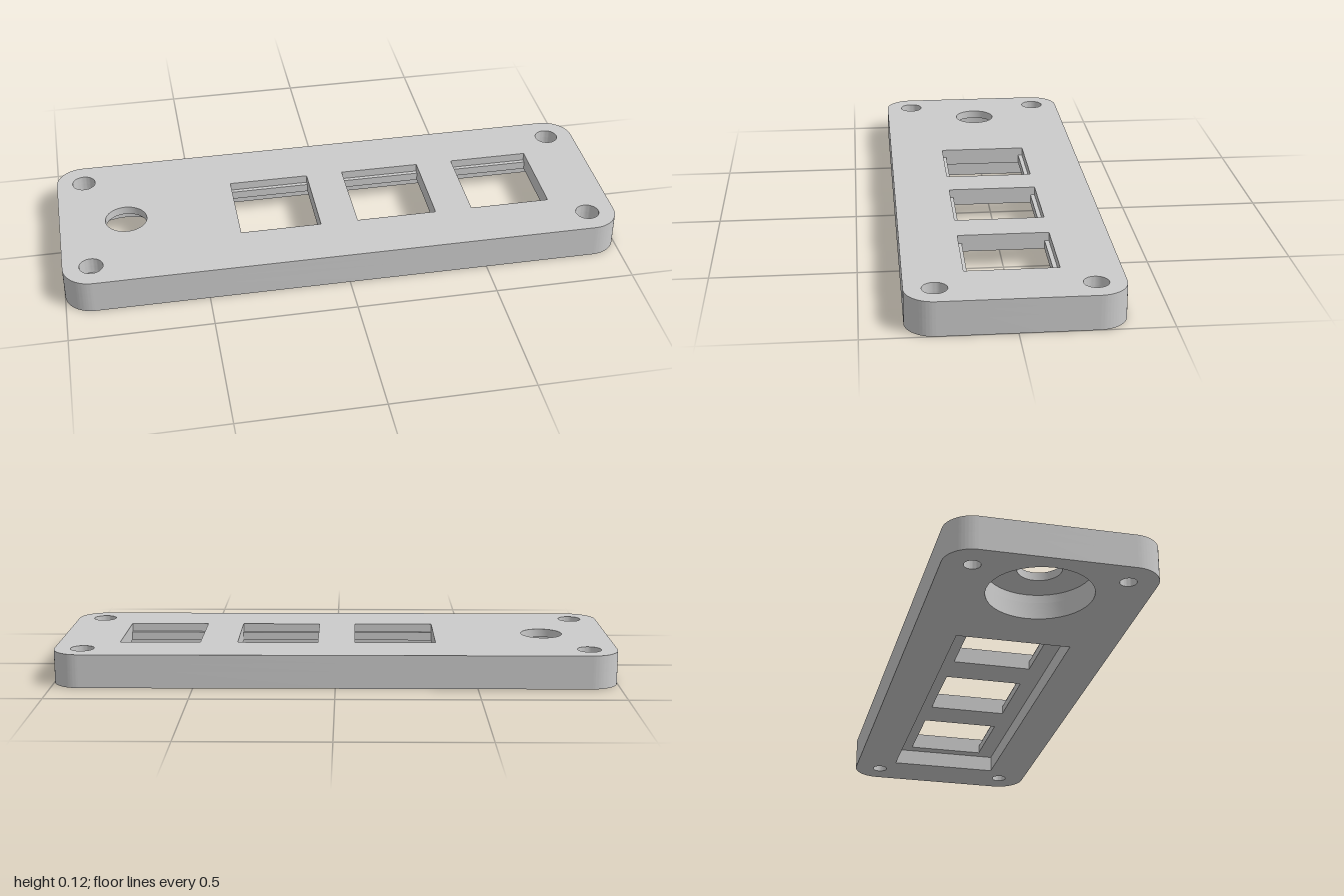
import * as THREE from 'three';
import { toCreasedNormals } from 'three/addons/utils/BufferGeometryUtils.js';

const HALF_X = 1, HALF_Z = 0.357, CORNER = 0.1;
const WINDOWS = [-0.215, 0.21, 0.635]; // window centres along x
const WINDOW_WIDTH = 0.29;

const material = new THREE.MeshStandardMaterial({ color: 0xcccccc });

// Rounded outline of the plate
function plateShape() {
  const s = new THREE.Shape(), x = HALF_X - CORNER, z = HALF_Z - CORNER;
  s.absarc(x, z, CORNER, 0, Math.PI / 2);
  s.absarc(-x, z, CORNER, Math.PI / 2, Math.PI);
  s.absarc(-x, -z, CORNER, Math.PI, Math.PI * 1.5);
  s.absarc(x, -z, CORNER, Math.PI * 1.5, Math.PI * 2);
  s.closePath();
  return s;
}

function circleHole(x, z, r) {
  return new THREE.Path().absarc(x, z, r, 0, Math.PI * 2, true);
}

function rectHole(x, halfW, halfD) {
  return new THREE.Path([
    [x - halfW, -halfD], [x - halfW, halfD], [x + halfW, halfD], [x + halfW, -halfD],
  ].map(([a, b]) => new THREE.Vector2(a, b)));
}

const screwHoles = (r) =>
  [-1, 1].flatMap((i) => [-1, 1].map((j) => circleHole(i * 0.9, j * 0.257, r)));

const windowHoles = (halfDepth) =>
  WINDOWS.map((x) => rectHole(x, WINDOW_WIDTH / 2, halfDepth));

// One slab of the plate between two heights, pierced by its holes
function layer(name, y0, y1, holes) {
  const shape = plateShape();
  shape.holes.push(...holes);
  const geo = new THREE.ExtrudeGeometry(shape, {
    depth: y1 - y0, bevelEnabled: false, curveSegments: 20,
  });
  geo.rotateX(-Math.PI / 2);
  geo.translate(0, y0, 0);
  const mesh = new THREE.Mesh(toCreasedNormals(geo, 0.5), material);
  mesh.name = name;
  return mesh;
}

export function createModel() {
  const group = new THREE.Group();
  group.name = 'socketPlate';
  group.add(
    // underside: shared pocket, wide bore and narrow screw holes
    layer('undersidePocketLayer', 0, 0.06,
      [rectHole(0.21, 0.61, 0.203), circleHole(-0.76, 0, 0.18), ...screwHoles(0.028)]),
    // middle: narrower windows form ledges, screw head recesses begin
    layer('windowLedgeLayer', 0.06, 0.09,
      [...windowHoles(0.142), circleHole(-0.76, 0, 0.18), ...screwHoles(0.042)]),
    // top: full windows and the small round opening
    layer('topFaceLayer', 0.09, 0.12,
      [...windowHoles(0.157), circleHole(-0.76, 0, 0.075), ...screwHoles(0.042)]),
  );
  return group;
}
